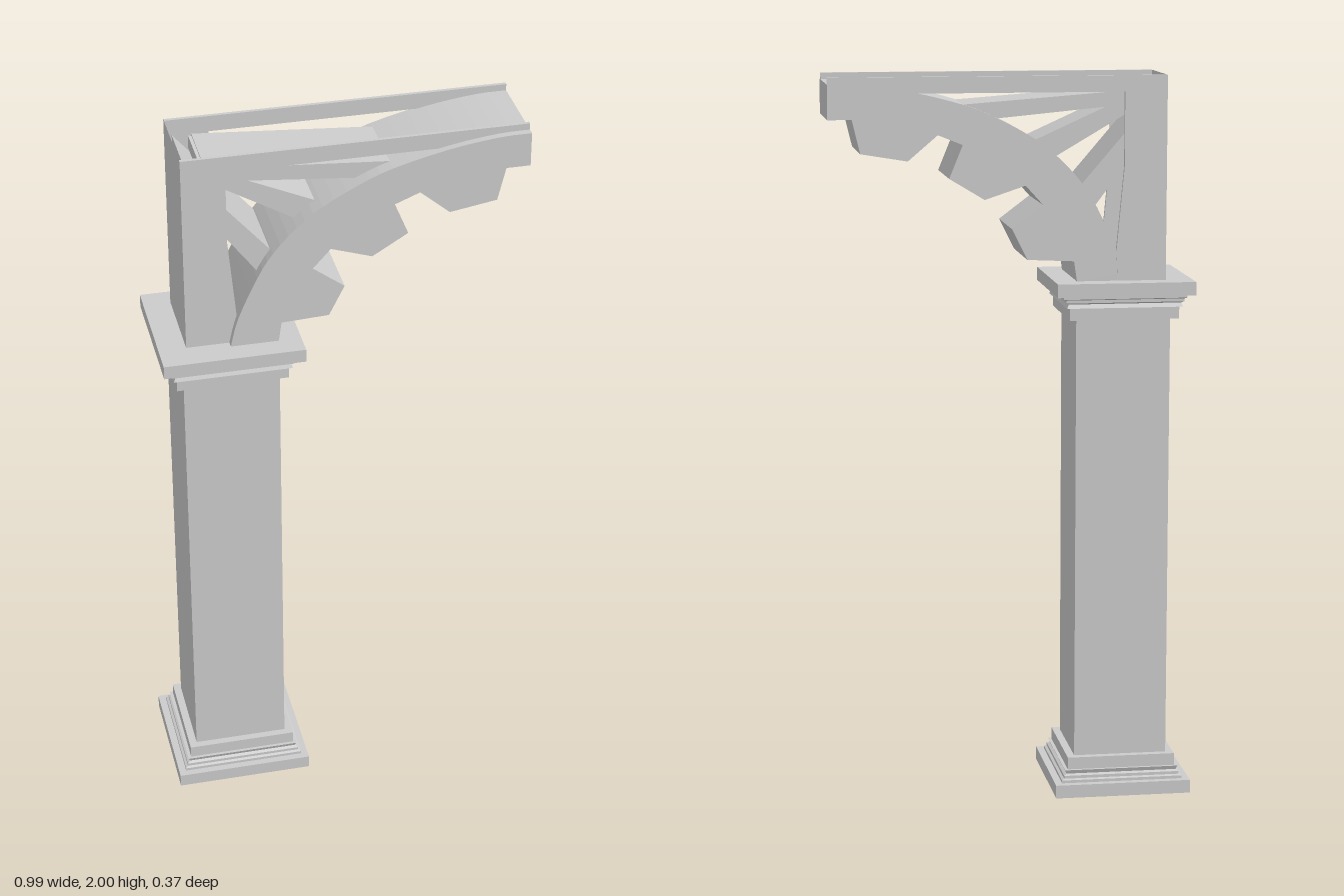
import * as THREE from 'three';

const material = new THREE.MeshStandardMaterial({ color: 0xcccccc, flatShading: true, side: THREE.DoubleSide });

// Outline in x/y pushed from z0 to z1
function slab(name, points, z0, z1) {
  const shape = new THREE.Shape(points.map(([x, y]) => new THREE.Vector2(x, y)));
  const geometry = new THREE.ExtrudeGeometry(shape, { depth: z1 - z0, bevelEnabled: false });
  geometry.translate(0, 0, z0);
  const mesh = new THREE.Mesh(geometry, material);
  mesh.name = name;
  return mesh;
}

export function createModel() {
  const group = new THREE.Group();
  group.name = 'bracketedColumn';

  // Square column: half-width and height, capital mirrors the base
  const height = 1.445;
  const base = [
    [0.19, 0], [0.19, 0.037], [0.17, 0.037], [0.17, 0.045], [0.163, 0.048],
    [0.163, 0.056], [0.155, 0.06], [0.16, 0.071], [0.151, 0.071], [0.151, 0.105], [0.13, 0.105],
  ];
  const profile = [[0, 0], ...base, ...base.map(([r, y]) => [r, height - y]).reverse(), [0, height]];
  const columnGeometry = new THREE.LatheGeometry(
    profile.map(([r, y]) => new THREE.Vector2(r * Math.SQRT2, y)), 4);
  columnGeometry.rotateY(Math.PI / 4);
  columnGeometry.scale(1, 1, 0.972);
  columnGeometry.translate(-0.307, 0, 0);
  const column = new THREE.Mesh(columnGeometry, material);
  column.name = 'column';
  group.add(column);

  // Arched brace with blocks along its underside
  const crown = new THREE.SplineCurve([
    [-0.307, 1.445], [-0.286, 1.527], [-0.233, 1.644], [-0.19, 1.713], [-0.127, 1.781], [-0.058, 1.835],
    [0.037, 1.887], [0.127, 1.924], [0.275, 1.961], [0.408, 1.98], [0.495, 1.982],
  ].map(([x, y]) => new THREE.Vector2(x, y)));
  const underside = [
    [0.495, 1.888], [0.43, 1.888], [0.408, 1.797], [0.281, 1.776], [0.2, 1.845], [0.133, 1.818], [0.17, 1.728],
    [0.074, 1.67], [-0.037, 1.707], [-0.085, 1.654], [0, 1.59], [-0.042, 1.506], [-0.17, 1.5], [-0.178, 1.445],
  ];
  group.add(slab('archBrace', [...crown.getPoints(30).map((p) => [p.x, p.y]), ...underside], -0.128, 0.125));

  // Thin side plates: post and top rail in one piece
  const sidePlate = [
    [-0.423, 1.445], [-0.29, 1.445], [-0.286, 1.527], [-0.307, 1.755], [-0.307, 1.956],
    [0.495, 1.956], [0.495, 2], [-0.423, 2],
  ];
  group.add(slab('frontSidePlate', sidePlate, 0.095, 0.105));
  group.add(slab('backSidePlate', sidePlate, -0.13, -0.12));

  // Outer wall of the open-topped post
  const wall = new THREE.Mesh(new THREE.PlaneGeometry(0.235, 0.555), material);
  wall.name = 'postWall';
  wall.rotation.y = -Math.PI / 2;
  wall.position.set(-0.423, 1.7225, -0.0125);
  group.add(wall);

  // Struts fanning from the post to the arch
  const struts = [
    ['upperStrut', [[-0.355, 1.961], [0.2, 1.919], [0.2, 1.871], [-0.355, 1.924]], -0.108, 0.085],
    ['middleStrut', [[-0.365, 1.962], [-0.042, 1.816], [-0.085, 1.76], [-0.365, 1.924]], -0.1, 0.073],
    ['lowerStrut', [[-0.404, 1.956], [-0.19, 1.707], [-0.212, 1.628], [-0.404, 1.887]], -0.12, 0.095],
  ];
  for (const strut of struts) group.add(slab(...strut));

  return group;
}
